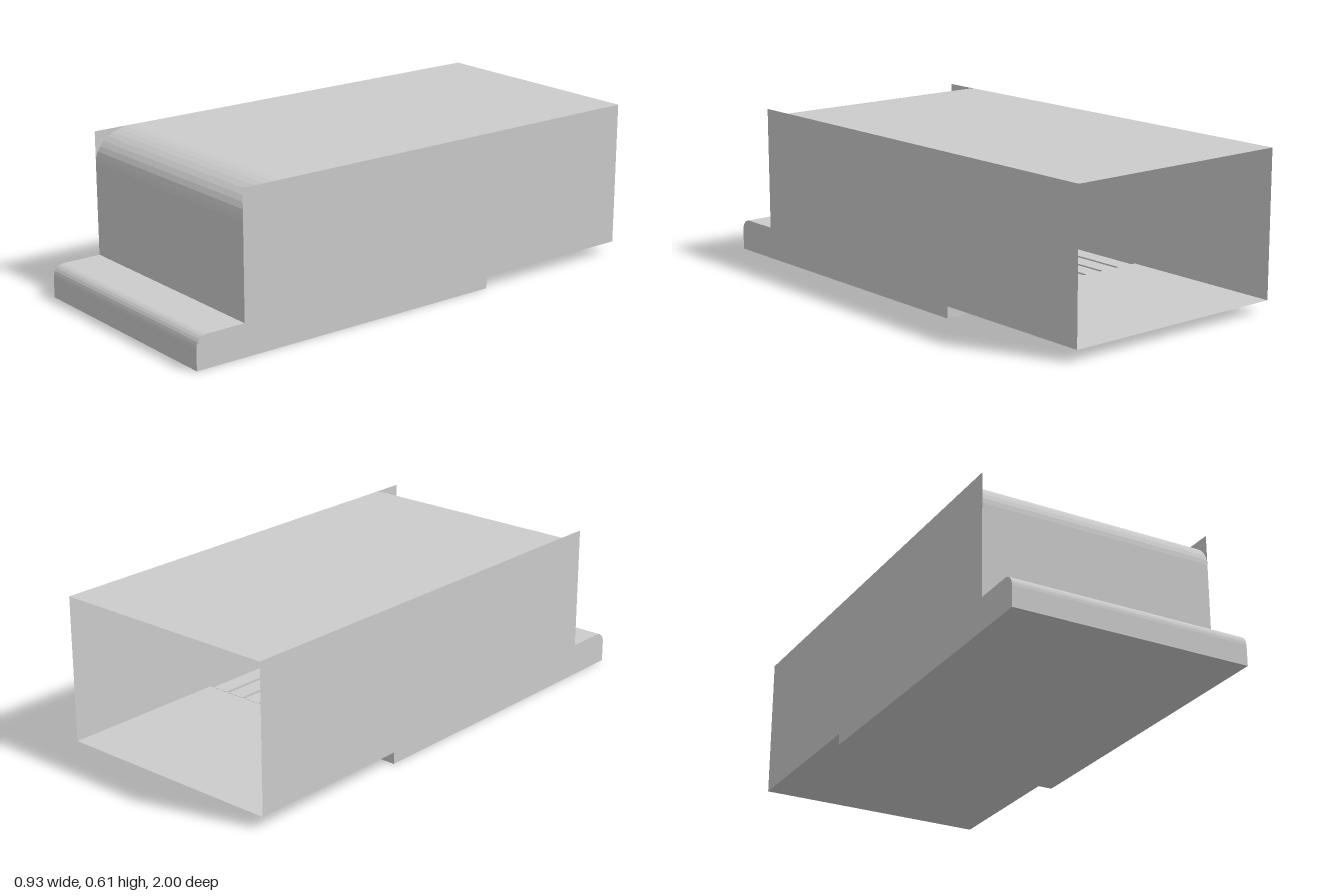
import * as THREE from 'three';

const HALF = 0.465;
const material = new THREE.MeshStandardMaterial({
  color: 0xcccccc, flatShading: true, side: THREE.DoubleSide,
});

// Quarter ellipse of [z, y] points, from facing front (+z) round to facing up
function quarter(cz, cy, rz, ry, steps) {
  return Array.from({ length: steps + 1 }, (_, i) => {
    const a = (i / steps) * Math.PI / 2;
    return [cz + rz * Math.cos(a), cy + ry * Math.sin(a)];
  });
}

// Thin sheet: a [z, y] profile swept across the full width
function sheet(name, profile) {
  const pos = [], index = [];
  profile.forEach(([z, y], i) => {
    pos.push(-HALF, y, z, HALF, y, z);
    const k = 2 * i;
    if (i) index.push(k - 2, k - 1, k, k - 1, k + 1, k);
  });
  const g = new THREE.BufferGeometry();
  g.setAttribute('position', new THREE.Float32BufferAttribute(pos, 3));
  g.setIndex(index);
  const flat = g.toNonIndexed();
  flat.computeVertexNormals();
  const mesh = new THREE.Mesh(flat, material);
  mesh.name = name;
  return mesh;
}

export function createModel() {
  const model = new THREE.Group();
  model.name = 'openBackedShell';

  const stepCurve = quarter(0.955, 0.08, 0.045, 0.045, 6);
  const roofCurve = quarter(0.64, 0.485, 0.16, 0.12, 9);

  // Folded panels, running from the floor round the front to the roof
  model.add(
    sheet('floor', [[-1, 0.045], [-0.32, 0.045], [-0.32, 0], [1, 0]]),
    sheet('frontStep', [[1, 0], ...stepCurve, [0.8, 0.125]]),
    sheet('frontPanel', [[0.8, 0.125], [0.8, 0.485]]),
    sheet('roof', [...roofCurve, [-1, 0.605]]),
  );

  // Side walls keep a square corner beside the rounded roof front
  const outline = [
    [-1, 0.045], [-0.32, 0.045], [-0.32, 0], [1, 0], ...stepCurve,
    [0.8, 0.125], [0.8, 0.605], [-1, 0.605],
  ].map(([z, y]) => new THREE.Vector2(-z, y));
  const wallGeometry = new THREE.ShapeGeometry(new THREE.Shape(outline));
  wallGeometry.rotateY(Math.PI / 2);
  for (const [name, x] of [['leftWall', HALF], ['rightWall', -HALF]]) {
    const wall = new THREE.Mesh(wallGeometry, material);
    wall.name = name;
    wall.position.x = x;
    model.add(wall);
  }

  // Lengthwise slats on the inner floor
  const slats = new THREE.Group();
  slats.name = 'floorSlats';
  const count = 11, pitch = 0.92 / count;
  const slatGeometry = new THREE.BoxGeometry(pitch - 0.015, 0.04, 1.1);
  for (let i = 0; i < count; i++) {
    const slat = new THREE.Mesh(slatGeometry, material);
    slat.name = 'floorSlat';
    slat.position.set((i - (count - 1) / 2) * pitch, 0.023, 0.235);
    slats.add(slat);
  }
  model.add(slats);
  return model;
}
